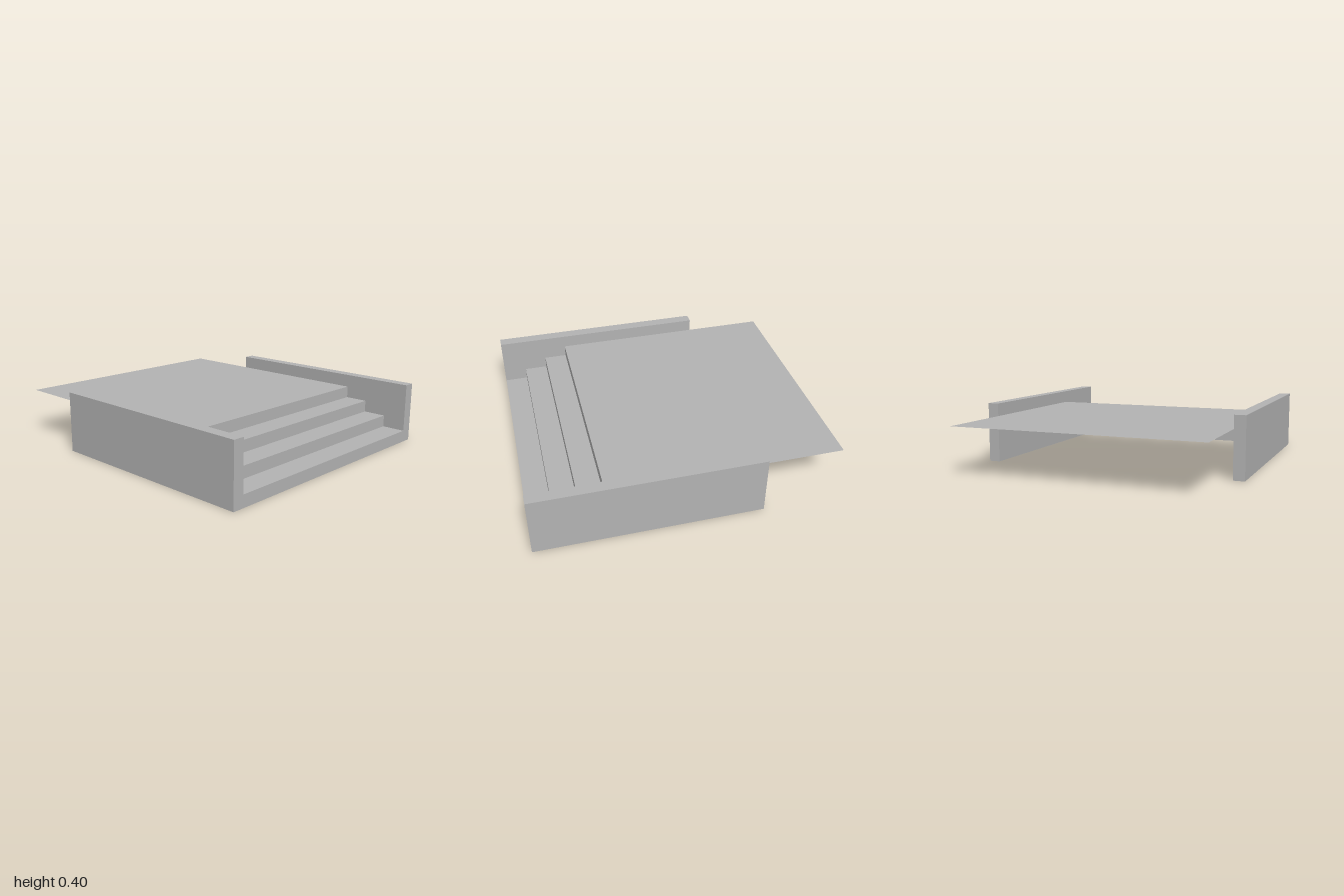
import * as THREE from 'three';

export function createModel() {
  const model = new THREE.Group();
  const stone = new THREE.MeshStandardMaterial({ color: 0xb2b2b2, side: THREE.DoubleSide });
  stone.name = 'grey stone';

  const add = (name, geometry, x, y, z, parent = model) => {
    const mesh = new THREE.Mesh(geometry, stone);
    mesh.name = name;
    mesh.position.set(x, y, z);
    parent.add(mesh);
  };

  const halfWidth = 0.82, outer = 0.895;
  const wallBack = -0.465, wallHeight = 0.4;

  // Side walls
  for (const [name, side] of [['leftWall', 1], ['rightWall', -1]]) {
    add(name, new THREE.BoxGeometry(outer - halfWidth, wallHeight, 1 - wallBack),
      side * (outer + halfWidth) / 2, wallHeight / 2, (1 + wallBack) / 2);
  }

  // Open stair sheet: four risers and treads, the last tread is the long landing
  const stairs = new THREE.Group();
  stairs.name = 'stairs';
  model.add(stairs);
  const edges = [1, 0.842, 0.685, 0.529, -1];
  const rise = 0.0785;
  for (let i = 0; i < 4; i++) {
    const front = edges[i], back = edges[i + 1], top = (i + 1) * rise;
    add(`riser${i + 1}`, new THREE.PlaneGeometry(2 * halfWidth, rise), 0, top - rise / 2, front, stairs);
    const tread = new THREE.PlaneGeometry(2 * halfWidth, front - back).rotateX(-Math.PI / 2);
    add(i < 3 ? `tread${i + 1}` : 'landing', tread, 0, top, (front + back) / 2, stairs);
  }
  return model;
}
